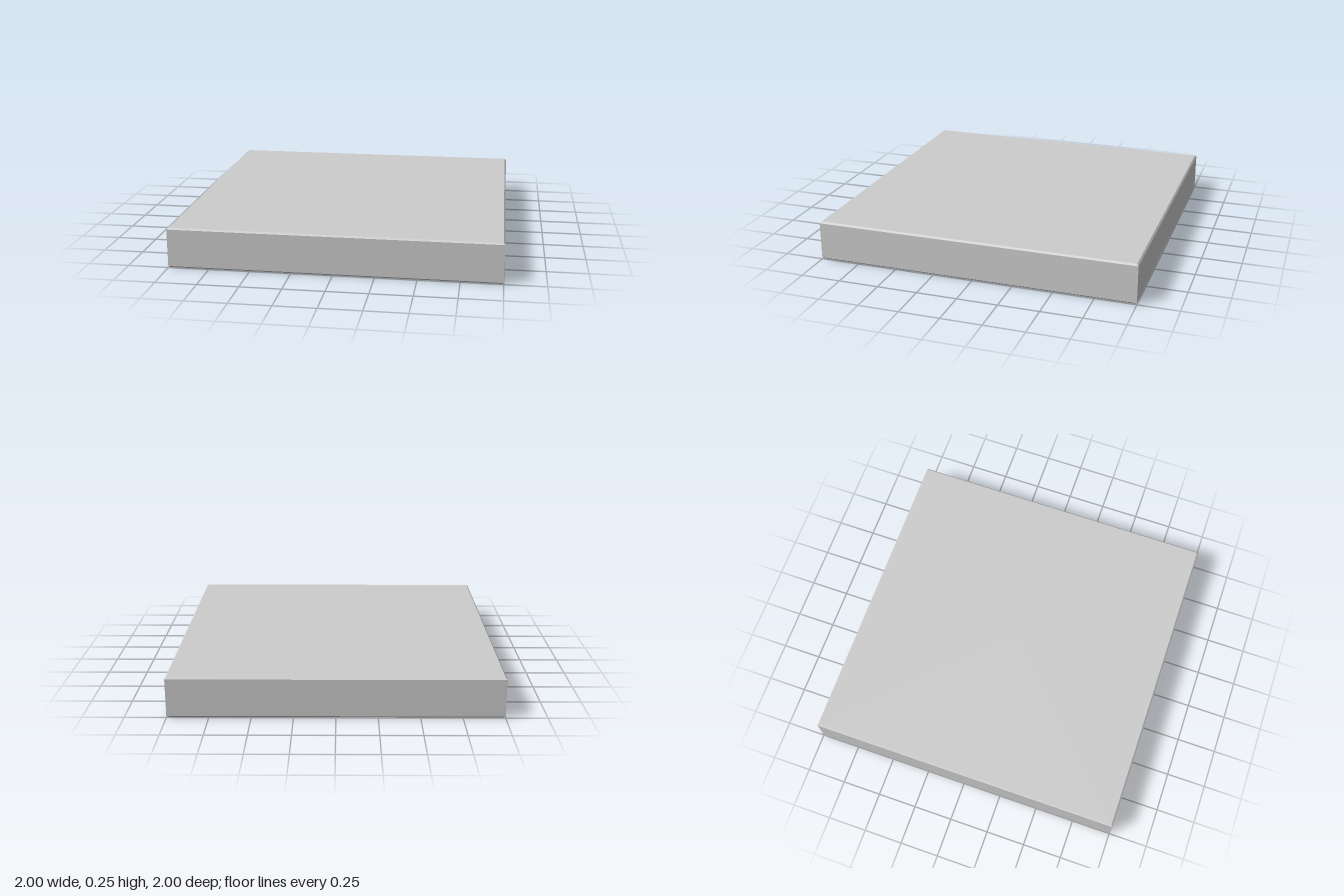
import * as THREE from 'three';

const BEVEL = 0.01, HEIGHT = 0.25, FLOOR = 0.195, INNER = 0.855;
const RIB_HALF = 0.087, RIB_BOTTOM = 0.046, RIB_SPACING = 0.463;

// Square solid: a four-sided lathe of a (half width, y) profile
function squareLathe(profile) {
  const points = profile.map(([r, y]) => new THREE.Vector2(r * Math.SQRT2, y));
  const geometry = new THREE.LatheGeometry(points, 4).rotateY(Math.PI / 4).toNonIndexed();
  geometry.computeVertexNormals();
  return geometry;
}

export function createModel() {
  const group = new THREE.Group();
  group.name = 'floorTile';
  const grey = new THREE.MeshStandardMaterial({ color: 0xcccccc, flatShading: true });
  grey.name = 'light grey';

  // Hollow slab: underside, recess walls, bevelled rim, outer walls and top
  const slab = new THREE.Mesh(squareLathe([
    [0, FLOOR], [INNER, FLOOR], [INNER, BEVEL], [INNER + BEVEL, 0],
    [1 - BEVEL, 0], [1, BEVEL], [1, HEIGHT - BEVEL], [1 - BEVEL, HEIGHT], [0, HEIGHT],
  ]), grey);
  slab.name = 'slab';
  group.add(slab);

  // Stiffening ribs under the slab, running side to side with bevelled lower edges
  const section = new THREE.Shape([
    [-RIB_HALF, FLOOR], [-RIB_HALF, RIB_BOTTOM + BEVEL], [-RIB_HALF + BEVEL, RIB_BOTTOM],
    [RIB_HALF - BEVEL, RIB_BOTTOM], [RIB_HALF, RIB_BOTTOM + BEVEL], [RIB_HALF, FLOOR],
  ].map(([x, y]) => new THREE.Vector2(x, y)));
  const ribGeometry = new THREE.ExtrudeGeometry(section, { depth: 2 * INNER, bevelEnabled: false });
  ribGeometry.translate(0, 0, -INNER).rotateY(Math.PI / 2);
  for (const i of [-1, 0, 1]) {
    const rib = new THREE.Mesh(ribGeometry, grey);
    rib.name = 'rib';
    rib.position.z = i * RIB_SPACING;
    group.add(rib);
  }
  return group;
}
